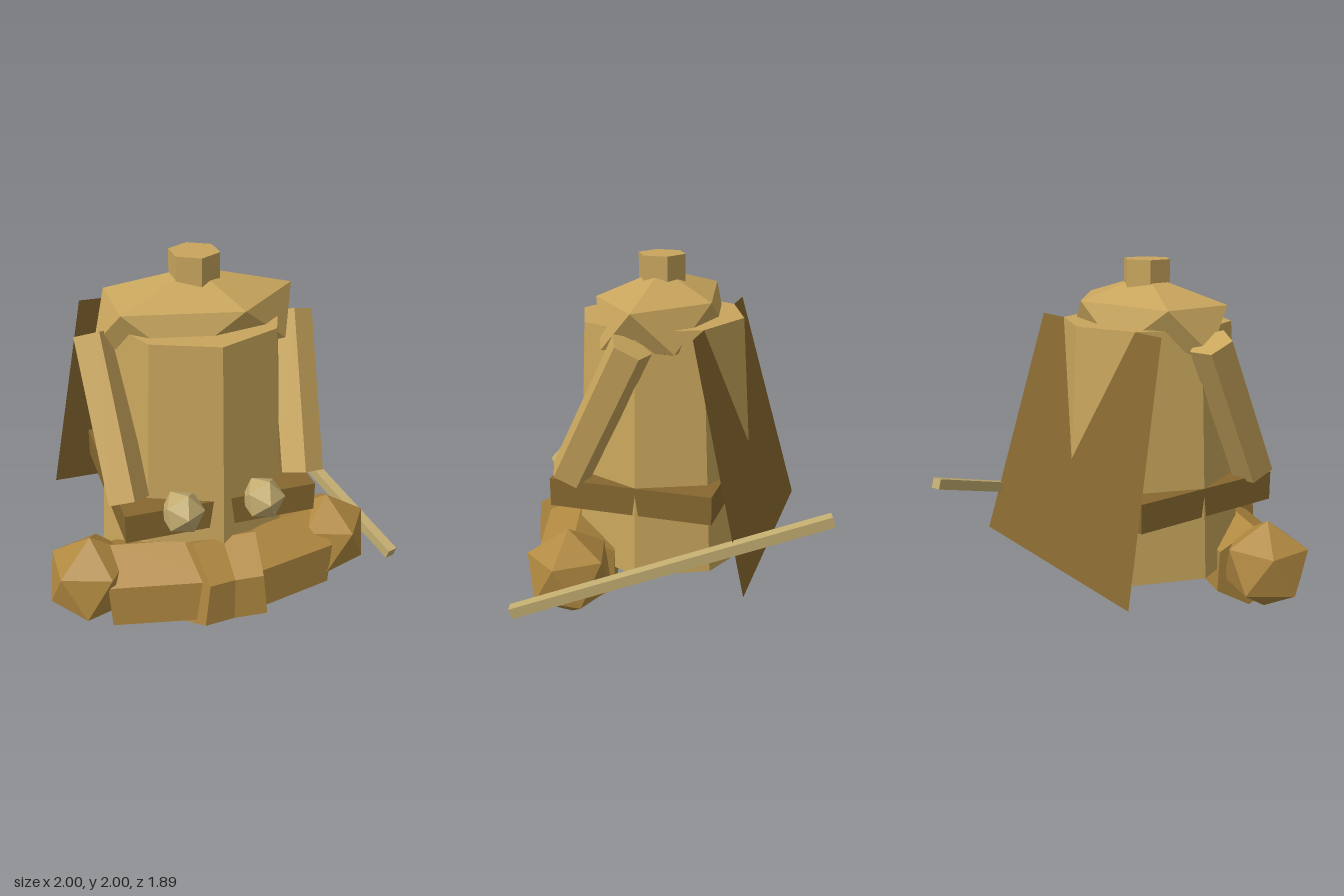
import * as THREE from 'three';

const V = (x, y, z) => new THREE.Vector3(x, y, z);
const CX = -0.08, CZ = 0.17; // axis of the figure

const mat = (color) => new THREE.MeshStandardMaterial({ color, flatShading: true });
const tan = mat(0xc8a55c);
const brown = mat(0x86672f);
const leather = mat(0xb08840);
const pale = mat(0xc2ac70);

// Icosahedron standing on one of its points
function ico(rx, ry = rx, rz = rx) {
  const g = new THREE.IcosahedronGeometry(1, 0);
  g.rotateZ(-Math.atan(2 / (1 + Math.sqrt(5))));
  return g.scale(rx, ry, rz);
}

// Lay a y-axis geometry between a and b, its +z side turned towards ref
function between(geometry, a, b, ref) {
  const y = b.clone().sub(a).normalize();
  const x = y.clone().cross(ref).normalize();
  const z = x.clone().cross(y);
  geometry.applyMatrix4(new THREE.Matrix4().makeBasis(x, y, z));
  const m = a.clone().add(b).multiplyScalar(0.5);
  return geometry.translate(m.x, m.y, m.z);
}

function rod(a, b, radius, sides, ref) {
  return between(new THREE.CylinderGeometry(radius, radius, a.distanceTo(b), sides), a, b, ref);
}

export function createModel() {
  const model = new THREE.Group();
  const add = (name, geometry, material, x = 0, y = 0, z = 0) => {
    const mesh = new THREE.Mesh(geometry, material);
    mesh.name = name;
    mesh.position.set(x, y, z);
    model.add(mesh);
    return mesh;
  };

  // Robe, belt and head covering
  add('body', new THREE.CylinderGeometry(0.48, 0.56, 1.4, 8), tan, CX, 0.96, CZ);
  add('belt', new THREE.BoxGeometry(1.065, 0.165, 0.95), brown, CX, 0.703, 0.205);
  add('hat', ico(0.615, 0.257, 0.394), tan, CX, 1.655, CZ);
  add('hatKnob', new THREE.CylinderGeometry(0.138, 0.138, 0.22, 6), tan, CX, 1.89, CZ);

  // Cape: a flat sheet that widens and leans back towards the hem
  const cape = new THREE.PlaneGeometry(1, 1);
  const p = cape.attributes.position;
  for (let i = 0; i < 4; i++) {
    const top = p.getY(i) > 0;
    const half = top ? 0.555 : 0.725;
    p.setXYZ(i, CX + Math.sign(p.getX(i)) * half, top ? 1.66 : 0.32, top ? -0.17 : -0.5);
  }
  cape.computeVertexNormals();
  const capeMaterial = mat(0x86672f);
  capeMaterial.side = THREE.DoubleSide;
  add('cape', cape, capeMaterial);

  // Paired parts, mirrored about the body's axis
  for (const s of [-1, 1]) {
    const side = s > 0 ? 'left' : 'right';
    const at = (dx, y, z) => V(CX + s * dx, y, z);

    add(side + 'Sleeve',
      rod(at(0.495, 0.81, 0.57), at(0.555, 1.6, 0.165), 0.12, 5, V(-s * 0.18, 0, 1)), tan);

    // Bent roll across the feet, with a collar at its middle
    add(side + 'Roll', rod(at(-0.02, 0.29, 0.685), at(0.58, 0.25, 0.515), 0.25, 6, V(0, 1, 0)), leather);
    add(side + 'RollCollar', rod(at(-0.02, 0.285, 0.675), at(0.205, 0.31, 0.72), 0.256, 6, V(0, 1, 0)), leather);
    add(side + 'RollEnd', ico(0.26), leather, CX + s * 0.695, 0.31, 0.507);

    const bead = add(side + 'Bead', ico(0.123), pale, CX + s * 0.225, 0.76, 0.685);
    bead.rotation.set(1.4, 0.1, 0);
  }

  // Staff
  const a = V(0.965, 0.215, 0.705), b = V(0.455, 0.745, -0.93);
  add('staff', between(new THREE.BoxGeometry(0.06, a.distanceTo(b), 0.06), a, b, V(0, 1, 0)), pale);

  return model;
}
